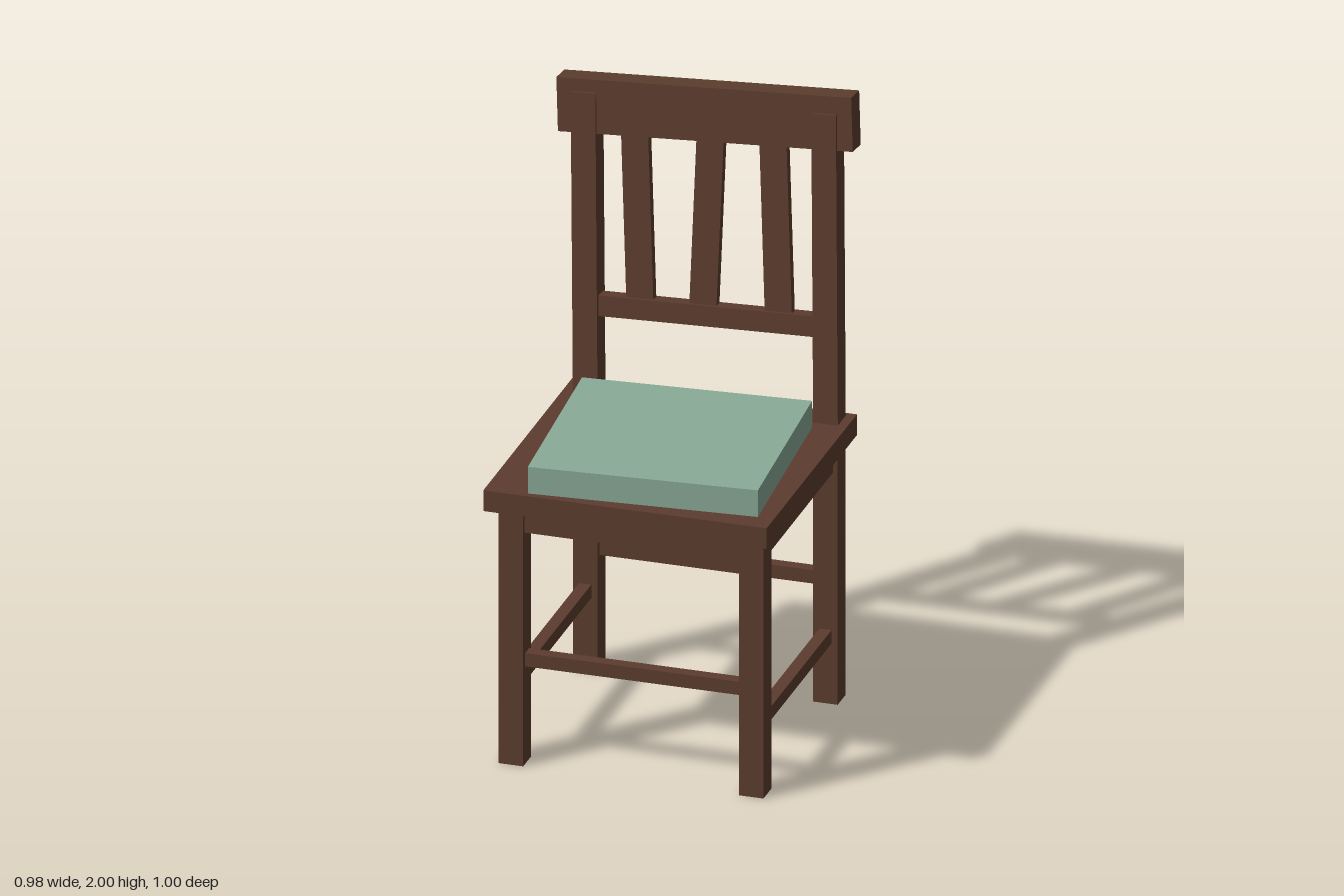
import * as THREE from 'three';

export function createModel() {
  const group = new THREE.Group();
  const wood = new THREE.MeshStandardMaterial({ color: 0x5c3d2e });
  wood.name = 'darkWood';
  const fabric = new THREE.MeshStandardMaterial({ color: 0x8aab98 });
  fabric.name = 'sageFabric';

  const add = (name, mat, w, h, d) => {
    const mesh = new THREE.Mesh(new THREE.BoxGeometry(w, h, d), mat);
    mesh.name = name;
    group.add(mesh);
    return mesh;
  };

  // Box given by its limits on each axis
  const block = (name, x0, x1, y0, y1, z0, z1) =>
    add(name, wood, x1 - x0, y1 - y0, z1 - z0)
      .position.set((x0 + x1) / 2, (y0 + y1) / 2, (z0 + z1) / 2);

  // Upright bar running from a to b
  const bar = (name, a, b, w, d) => {
    const from = new THREE.Vector3(...a), to = new THREE.Vector3(...b);
    const y = to.clone().sub(from);
    const mesh = add(name, wood, w, y.length(), d);
    y.normalize();
    const z = new THREE.Vector3(1, 0, 0).cross(y).normalize();
    const x = y.clone().cross(z);
    mesh.quaternion.setFromRotationMatrix(new THREE.Matrix4().makeBasis(x, y, z));
    mesh.position.copy(from).add(to).multiplyScalar(0.5);
  };

  // Depth of the reclined back at a given height
  const backZ = (y) => -0.34 - 0.1055 * (y - 0.945);

  // Seat board with the solid base beneath it
  block('seat', -0.43, 0.49, 0.875, 0.945, -0.4, 0.5);
  block('seatBase', -0.385, 0.445, 0.785, 0.876, -0.365, 0.425);

  // Legs
  for (const x of [-0.36, 0.42])
    for (const z of [-0.34, 0.4])
      block(z > 0 ? 'frontLeg' : 'backLeg', x - 0.04, x + 0.04, 0, 0.88, z - 0.04, z + 0.04);

  // Stretchers, each at its own height
  block('frontStretcher', -0.34, 0.4, 0.33, 0.375, 0.38, 0.42);
  block('backStretcher', -0.34, 0.4, 0.39, 0.435, -0.36, -0.32);
  block('leftStretcher', 0.4, 0.44, 0.205, 0.25, -0.32, 0.38);
  block('rightStretcher', -0.38, -0.34, 0.25, 0.295, -0.32, 0.38);

  // Leaning back posts
  for (const [x, top] of [[-0.36, 1.905], [0.42, 1.938]])
    bar('backPost', [x + 0.002, 0.9, backZ(0.9)], [x - 0.04, top, backZ(top)], 0.08, 0.08);

  // Slats
  for (const [x0, x1] of [[-0.2, -0.238], [0.003, 0.008], [0.25, 0.212]])
    bar('backSlat', [x0, 1.235, backZ(1.235)], [x1, 1.81, backZ(1.81)], 0.088, 0.03);

  // Crooked rails
  const rail = (name, x, y, dz, size, roll) => {
    const mesh = add(name, wood, ...size);
    mesh.position.set(x, y, backZ(y) + dz);
    mesh.rotation.set(-0.105, 0, roll);
  };
  rail('lowerRail', 0.017, 1.232, 0, [0.74, 0.067, 0.05], 0.036);
  rail('topRail', -0.0075, 1.883, -0.009, [0.957, 0.175, 0.08], 0.063);

  // Cushion, turned askew on the seat
  const cushion = add('cushion', fabric, 0.732, 0.09, 0.693);
  cushion.position.set(0.049, 0.991, 0.11);
  cushion.rotation.y = 0.071;

  return group;
}
